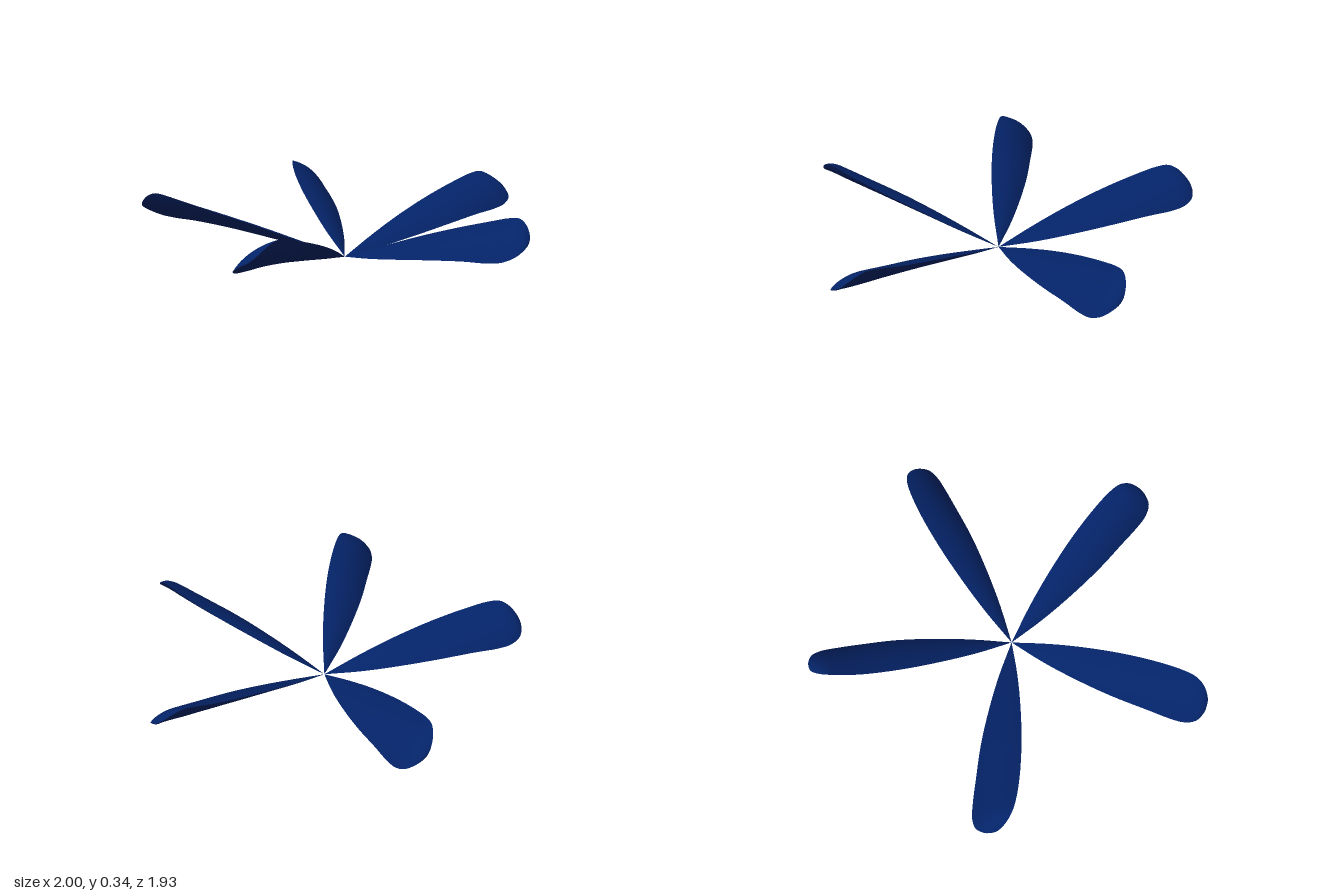
import * as THREE from 'three';

const material = new THREE.MeshStandardMaterial({ color: 0x042368, side: THREE.DoubleSide });

// Petal stations: distance from hub, middle height, half width, half rise across the width, tip skew
const stations = [
  [0, 0, 0, 0, 0],
  [0.2, 0.059, 0.047, 0.022, 0],
  [0.4, 0.119, 0.08, 0.041, 0],
  [0.6, 0.175, 0.101, 0.057, 0],
  [0.78, 0.22, 0.106, 0.072, 0],
  [0.9, 0.246, 0.103, 0.082, 0.008],
  [0.965, 0.259, 0.094, 0.078, 0.014],
  [1.015, 0.262, 0.07, 0.053, 0.014],
  [1.043, 0.257, 0.028, 0.018, 0.005],
  [1.046, 0.256, 0, 0, 0],
];

// One edge of the petal; side -1 is the raised edge, +1 the lowered edge
const edge = (side) => new THREE.CatmullRomCurve3(
  stations.map(([r, y, w, h, k]) => new THREE.Vector3(side * w + k * 0.6, y - side * h, -r - side * k)));

// One face of the lens-shaped petal, bulging up (face 1) or down (face -1)
function faceGeometry(face) {
  const geometry = new THREE.PlaneGeometry(1, 1, 10, 36);
  const high = edge(-1), low = edge(1);
  const pos = geometry.attributes.position;
  for (let i = 0; i < pos.count; i++) {
    // The underside runs across in the other direction so that it faces down
    const s = 0.5 + face * pos.getX(i);
    const t = pos.getY(i) + 0.5;
    const a = high.getPoint(t), b = low.getPoint(t);
    const bulge = face * 0.4 * s * (1 - s);
    const dx = b.x - a.x, dy = b.y - a.y;
    const p = a.lerp(b, s);
    pos.setXYZ(i, p.x - dy * bulge, p.y + dx * bulge, p.z);
  }
  geometry.computeVertexNormals();
  return geometry;
}

export function createModel() {
  const model = new THREE.Group();
  model.name = 'flower';
  const faces = { upperFace: faceGeometry(1), lowerFace: faceGeometry(-1) };
  // Five petals meeting in a point
  for (let i = 0; i < 5; i++) {
    const petal = new THREE.Group();
    petal.name = `petal${i + 1}`;
    for (const [name, geometry] of Object.entries(faces)) {
      const mesh = new THREE.Mesh(geometry, material);
      mesh.name = name;
      petal.add(mesh);
    }
    petal.position.z = 0.085;
    petal.rotation.y = (i * Math.PI * 2) / 5;
    model.add(petal);
  }
  return model;
}
